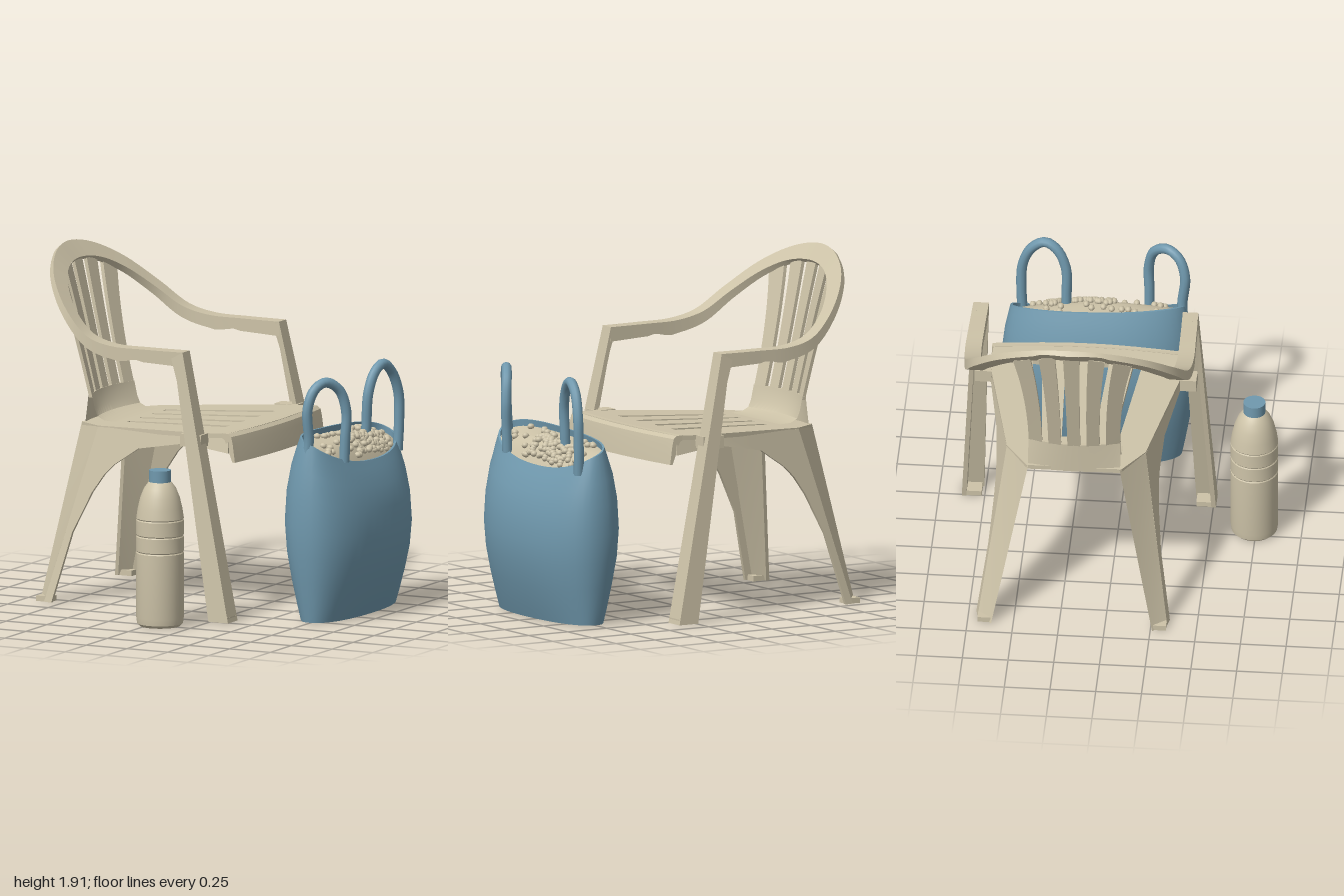
import * as THREE from 'three';
import { toCreasedNormals } from 'three/addons/utils/BufferGeometryUtils.js';

const plastic = new THREE.MeshStandardMaterial({ color: 0xcdc3a8, side: THREE.DoubleSide });
plastic.name = 'beige plastic';
const blue = new THREE.MeshStandardMaterial({ color: 0x7099ae, side: THREE.DoubleSide });
blue.name = 'dusty blue';

function mesh(name, geometry, material, parent) {
  const m = new THREE.Mesh(geometry, material);
  m.name = name;
  parent.add(m);
  return m;
}

// Skin a list of equal-length cross-sections; closed sections get end caps
function loft(rows, closed = true, caps = closed) {
  const n = rows[0].length, index = [];
  for (let i = 0; i < rows.length - 1; i++)
    for (let j = 0; j < (closed ? n : n - 1); j++) {
      const a = i * n + j, b = i * n + (j + 1) % n;
      index.push(a, b, a + n, b, b + n, a + n);
    }
  if (caps) {
    const e = (rows.length - 1) * n;
    for (let j = 1; j < n - 1; j++) index.push(0, j + 1, j, e, e + j, e + j + 1);
  }
  const g = new THREE.BufferGeometry();
  g.setAttribute('position', new THREE.Float32BufferAttribute(rows.flat(2), 3));
  g.setIndex(index);
  return toCreasedNormals(g, 0.6);
}

const curve = pts => new THREE.CatmullRomCurve3(pts.map(p => new THREE.Vector3(...p)));
const lerp = THREE.MathUtils.lerp;

function buildChair() {
  const chair = new THREE.Group();
  chair.name = 'chair';
  chair.position.z = -0.18;

  // Seat panel with four tapering slots
  const seatShape = new THREE.Shape();
  seatShape.moveTo(-0.76, -0.26);
  seatShape.lineTo(-0.6, -0.38);
  seatShape.lineTo(0.1, -0.53);
  seatShape.lineTo(0.27, -0.52);
  seatShape.quadraticCurveTo(0.35, 0, 0.27, 0.52);
  seatShape.lineTo(0.1, 0.53);
  seatShape.lineTo(-0.6, 0.38);
  seatShape.lineTo(-0.76, 0.26);
  for (const [back, front] of [[-0.21, -0.275], [-0.073, -0.093], [0.073, 0.093], [0.21, 0.275]]) {
    const hole = new THREE.Path();
    hole.moveTo(-0.5, back - 0.015);
    hole.lineTo(-0.5, back + 0.015);
    hole.lineTo(0.14, front + 0.025);
    hole.lineTo(0.14, front - 0.025);
    seatShape.holes.push(hole);
  }
  const seat = new THREE.ExtrudeGeometry(seatShape, { depth: 0.025, bevelEnabled: false });
  seat.rotateX(Math.PI / 2);
  const p = seat.attributes.position;
  for (let i = 0; i < p.count; i++) p.setY(i, p.getY(i) + 1.003 + 0.05 * p.getX(i));
  seat.computeVertexNormals();
  mesh('seat', seat, plastic, chair);

  // Rounded front lip
  const lip = [];
  for (let i = 0; i <= 16; i++) {
    const z = -0.53 + 1.06 * i / 16, f = 0.29 + 0.035 * (1 - (z / 0.53) ** 2);
    lip.push([[-0.05, 1.018], [-0.015, 1.016], [0.005, 1.0], [0.014, 0.96], [0.028, 0.86], [0.012, 0.86],
      [-0.005, 0.96], [-0.05, 0.99]].map(([x, y]) => [f + x, y, z]));
  }
  mesh('seatFrontLip', loft(lip), plastic, chair);

  // Curved backrest: u runs across, v runs up
  const back = (u, v) => {
    const z = u * lerp(0.25, 0.325, v * v);
    return [-0.745 - 0.175 * v + 0.7 * z * z, lerp(1.1, 1.825 - 0.8 * z * z, v), z];
  };
  for (const [a, b] of [[-1, -0.7], [-0.56, -0.28], [-0.14, 0.14], [0.28, 0.56], [0.7, 1]]) {
    const rows = [];
    for (let i = 0; i <= 12; i++) {
      const A = back(a, i / 12), B = back(b, i / 12);
      rows.push([A, B, [B[0] - 0.02, B[1], B[2]], [A[0] - 0.02, A[1], A[2]]]);
    }
    mesh('backSlat', loft(rows), plastic, chair);
  }

  // Scooped panel joining the seat to the slats
  const scoop = [[-0.56, 0.977, 0], [-0.64, 0.98, 0.2], [-0.7, 1.0, 0.5], [-0.73, 1.04, 0.7], [-0.748, 1.12, 0.7],
    [-0.768, 1.12, 0.7], [-0.765, 0.94, 0.3]].map(([x, y, k]) => {
    const row = [];
    for (let j = 0; j <= 16; j++) {
      const z = 0.252 * (j / 8 - 1);
      row.push([x + k * z * z, y, z]);
    }
    return row;
  });
  mesh('backBase', loft(scoop, false), plastic, chair);

  // Arm and back rim: one band swept around the chair
  const half = [ // outer point, inner point, thickness offset
    [[-0.98, 1.91, 0], [-0.905, 1.825, 0], [-0.02, -0.025, 0]],
    [[-0.945, 1.875, 0.215], [-0.875, 1.8, 0.19], [-0.02, -0.025, 0]],
    [[-0.85, 1.775, 0.415], [-0.8, 1.725, 0.345], [-0.02, -0.03, 0]],
    [[-0.7, 1.625, 0.555], [-0.68, 1.605, 0.47], [-0.02, -0.04, 0]],
    [[-0.55, 1.505, 0.61], [-0.55, 1.505, 0.52], [-0.01, -0.06, 0]],
    [[-0.4, 1.465, 0.625], [-0.4, 1.465, 0.535], [0, -0.07, 0]],
    [[-0.2, 1.46, 0.622], [-0.2, 1.46, 0.535], [0, -0.07, 0]],
    [[0.04, 1.46, 0.615], [0.04, 1.46, 0.53], [0, -0.08, 0]]];
  const flip = half.slice(1).reverse().map(r => r.map(([x, y, z]) => [x, y, -z]));
  const [outer, inner, drop] = [0, 1, 2].map(k => curve([...flip, ...half].map(r => r[k])));
  const rim = [];
  for (let i = 0; i <= 70; i++) {
    const [o, n, d] = [outer, inner, drop].map(c => c.getPoint(i / 70));
    rim.push([o, n, n.clone().add(d), o.clone().add(d)].map(v => v.toArray()));
  }
  mesh('armAndBackRim', loft(rim), plastic, chair);

  for (const s of [-1, 1]) {
    // Front leg: angle section, walls on the front and outer sides
    const leg = [1.46, 1.3, 1.0, 0.5, 0].map(y => {
      const d = 1 - y / 1.46, f = 0.04 + 0.32 * d, r = y > 1.4 ? -0.04 : 0.01 + 0.23 * (1.3 - y) / 1.3;
      const o = 0.615 + 0.08 * d, n = o - 0.085 - 0.03 * d, t = 0.025;
      return [[f, o], [f, n], [f - t, n], [f - t, o - t], [r, o - t], [r, o]].map(([x, z]) => [x, y, s * z]);
    });
    mesh('frontLeg', loft(leg), plastic, chair);
    const foot = mesh('frontFoot', new THREE.BoxGeometry(0.11, 0.03, 0.1), plastic, chair);
    foot.position.set(0.3, 0.015, s * 0.637);
    const joint = mesh('seatJoint', new THREE.BoxGeometry(0.13, 0.07, 0.09), plastic, chair);
    joint.position.set(0.085, 0.975, s * 0.56);

    // Rear leg: side wall sweeping into the seat skirt, folded to a rear wall
    const at = (x, y, inset = 0) => [x, y,
      s * (0.38 + 0.214 * (Math.min(x, 0.1) + 0.6) + 0.2 * (0.97 - y) - inset)];
    const top = [[-0.86, 0], [-0.76, 0.37], [-0.7, 0.6], [-0.6, 0.965], [-0.45, 0.975], [-0.31, 0.98], [0, 0.995], [0.28, 1.01]];
    const low = [[-0.81, 0], [-0.71, 0.39], [-0.6, 0.615], [-0.53, 0.715], [-0.47, 0.775], [-0.31, 0.88], [0, 0.94], [0.28, 0.91]];
    const side = top.map((q, i) => [at(...q), at(...low[i]), at(...low[i], 0.02), at(...q, 0.02)]);
    mesh('rearLegSide', loft(side), plastic, chair);
    const rear = [0, 0.5, 1].map(k => {
      const a = at(lerp(-0.86, -0.6, k), 0.965 * k), b = [lerp(-0.92, -0.765, k), 0.965 * k, s * lerp(0.44, 0.25, k)];
      return [a, b, [b[0] + 0.02, b[1], b[2]], [a[0] + 0.02, a[1], a[2] - s * 0.01]];
    });
    mesh('rearLegBack', loft(rear), plastic, chair);
    const pad = mesh('rearFoot', new THREE.BoxGeometry(0.09, 0.03, 0.07), plastic, chair);
    pad.position.set(-0.865, 0.015, s * 0.48);
  }
  return chair;
}

function buildBag() {
  const bag = new THREE.Group();
  bag.name = 'bag';
  bag.position.set(0.745, 0, -0.17);
  const N = 48;
  const rimY = a => 0.945 - 0.08 * Math.cos(a) + 0.025 * Math.sin(a) - 0.02 * Math.cos(2 * a);
  const soft = v => Math.sign(v) * Math.abs(v) ** 0.88;
  const ring = (rx, rz, fy) => Array.from({ length: N }, (_, j) => {
    const a = j / N * Math.PI * 2;
    return [rx * soft(Math.cos(a)), fy(a), rz * soft(Math.sin(a))];
  });

  // Bulging outer wall, rolled over the rim and down inside
  const rows = [[0.15, 0.46, 0], [0.175, 0.475, 0.08], [0.212, 0.498, 0.22], [0.242, 0.52, 0.37], [0.255, 0.53, 0.53],
    [0.242, 0.525, 0.7], [0.21, 0.51, 0.84], [0.165, 0.49, 0.95], [0.142, 0.48, 1], [0.13, 0.468, 1], [0.15, 0.468, 0.9]]
    .map(([x, z, t]) => ring(x, z, a => t * rimY(a)));
  mesh('bagWall', loft(rows, true, false), blue, bag);
  mesh('bagBottom', loft([ring(0.15, 0.46, () => 0), ring(0.001, 0.001, () => 0)], true, false), blue, bag);

  // Heaped filling with loose beads on top
  const heapY = (r, a) => lerp(0.97, rimY(a) - 0.035, r * r);
  const heap = [1, 0.8, 0.6, 0.4, 0.2, 0.01].map(r => ring(0.138 * r, 0.468 * r, a => heapY(r, a)));
  mesh('filling', loft(heap, true, false), plastic, bag);
  let seed = 7;
  const rand = () => (seed = (seed * 16807) % 2147483647) / 2147483647;
  const beadShape = new THREE.SphereGeometry(0.021, 8, 6);
  for (let i = 0; i < 120; i++) {
    const dense = i < 85;
    const x = dense ? 0.01 + 0.1 * rand() : -0.1 + 0.2 * rand();
    const z = dense ? -0.36 + 0.46 * rand() : -0.38 + 0.76 * rand();
    const r = Math.hypot(x / 0.138, z / 0.468);
    if (r > 0.93) continue;
    const bead = mesh('bead', beadShape, plastic, bag);
    bead.position.set(x, heapY(r, Math.atan2(z / 0.468, x / 0.138)) + 0.01, z);
    bead.scale.set(1, 0.8, 0.85);
  }

  // Two looped handles
  for (const pts of [
    [[-0.02, 0.88, 0.465], [-0.005, 1.0, 0.46], [-0.005, 1.18, 0.475], [0.02, 1.285, 0.44], [0.055, 1.32, 0.375],
      [0.1, 1.27, 0.3], [0.125, 1.15, 0.267], [0.12, 1.0, 0.27], [0.115, 0.87, 0.27]],
    [[0.015, 0.9, -0.175], [0.02, 1.0, -0.175], [0.03, 1.18, -0.18], [0.045, 1.29, -0.23], [0.06, 1.325, -0.295],
      [0.075, 1.27, -0.37], [0.09, 1.15, -0.42], [0.09, 1.0, -0.428], [0.085, 0.83, -0.42]]])
    mesh('bagHandle', new THREE.TubeGeometry(curve(pts), 40, 0.028, 10), blue, bag);
  return bag;
}

function buildBottle() {
  const bottle = new THREE.Group();
  bottle.name = 'bottle';
  bottle.position.set(0.06, 0, 0.74);
  const profile = [[0, 0], [0.11, 0], [0.125, 0.015], [0.13, 0.05]];
  // Three shallow grooves around the body
  for (const y of [0.41, 0.5, 0.59]) profile.push([0.13, y - 0.006], [0.126, y], [0.13, y + 0.006]);
  profile.push([0.122, 0.65], [0.108, 0.71], [0.088, 0.76], [0.066, 0.79], [0.055, 0.8], [0, 0.8]);
  const body = new THREE.LatheGeometry(profile.map(q => new THREE.Vector2(...q)), 40);
  mesh('bottleBody', toCreasedNormals(body, 0.5), plastic, bottle);
  mesh('bottleCap', new THREE.CylinderGeometry(0.06, 0.06, 0.072, 32), blue, bottle).position.y = 0.824;
  return bottle;
}

export function createModel() {
  const model = new THREE.Group();
  model.name = 'chairWithBagAndBottle';
  model.add(buildChair(), buildBag(), buildBottle());
  return model;
}
